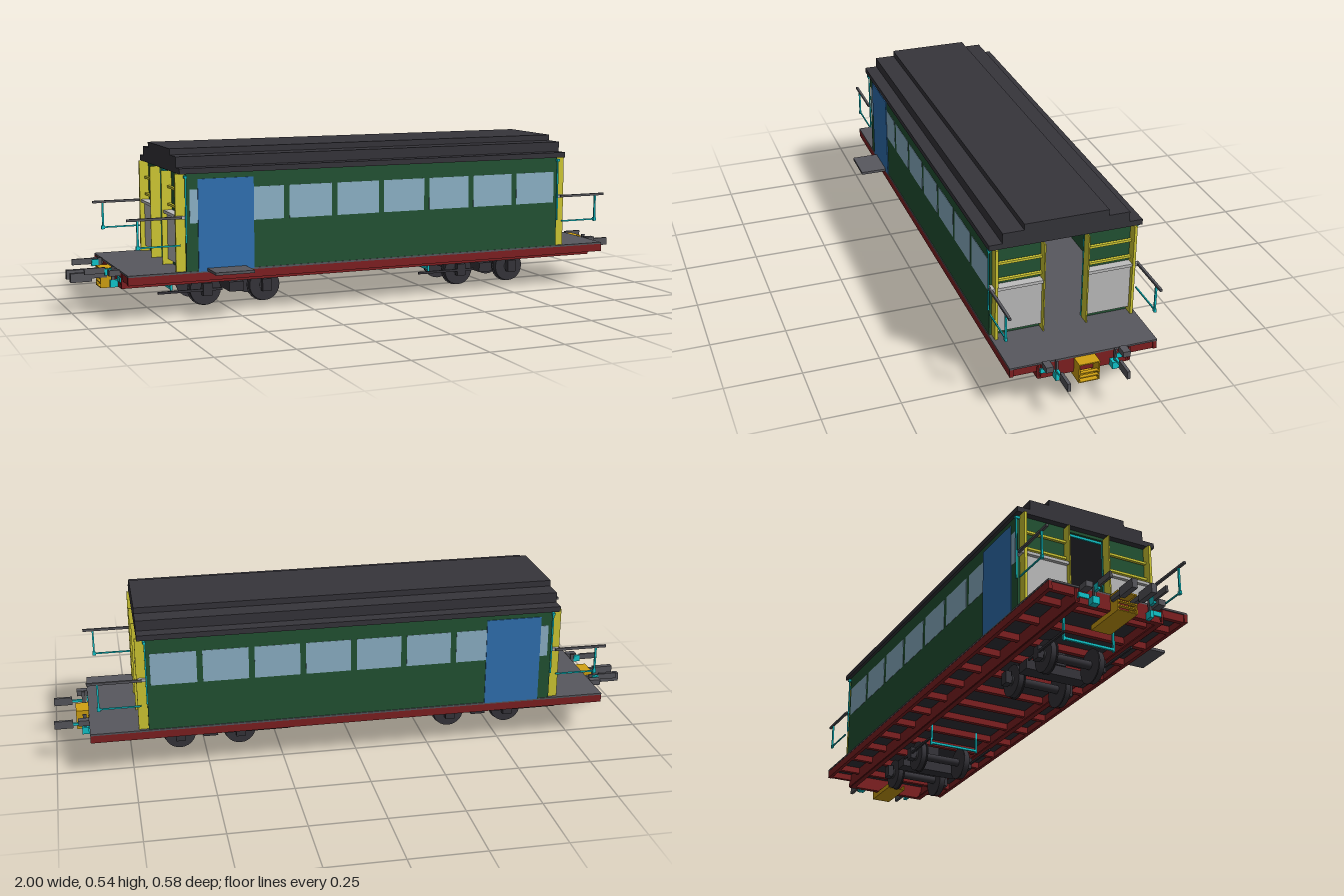
import * as THREE from 'three';

const mat = (name, color) => {
  const m = new THREE.MeshStandardMaterial({ color });
  m.name = name;
  return m;
};

export function createModel() {
  const root = new THREE.Group();
  root.name = 'railwayCoach';
  const M = {
    green: mat('body green', 0x235434),
    dark: mat('roof charcoal', 0x36353b),
    red: mat('frame red', 0x802022),
    grey: mat('deck grey', 0x58585e),
    panel: mat('panel light grey', 0xbebebe),
    yellow: mat('post yellow', 0xd3cc34),
    gold: mat('coupler gold', 0xd2a212),
    cyan: mat('fitting cyan', 0x10c9cf),
    blue: mat('door blue', 0x3173b5),
    glass: mat('window blue', 0x8fb5ca),
  };
  // box given by its limits on each axis
  const box = (name, m, x0, x1, y0, y1, z0, z1, parent = root) => {
    const mesh = new THREE.Mesh(new THREE.BoxGeometry(Math.abs(x1 - x0), y1 - y0, Math.abs(z1 - z0)), m);
    mesh.position.set((x0 + x1) / 2, (y0 + y1) / 2, (z0 + z1) / 2);
    mesh.name = name;
    parent.add(mesh);
    return mesh;
  };
  const disc = (name, m, r, x, y, z0, z1) => {
    const g = new THREE.CylinderGeometry(r, r, z1 - z0, 24).rotateX(Math.PI / 2);
    const mesh = new THREE.Mesh(g, m);
    mesh.position.set(x, y, (z0 + z1) / 2);
    mesh.name = name;
    root.add(mesh);
  };
  const ZC = -0.041; // centre line of the coach
  const both = (fn) => [1, -1].forEach(fn);

  // stepped roof
  box('roofEaves', M.dark, -0.69, 0.72, 0.463, 0.481, -0.291, 0.209);
  box('roofMiddle', M.dark, -0.69, 0.72, 0.481, 0.515, -0.247, 0.166);
  box('roofTop', M.dark, -0.69, 0.72, 0.515, 0.535, -0.178, 0.097);

  // side walls with windows and a sliding door
  both((s) => {
    const zo = ZC + s * 0.239, zi = zo - s * 0.008;
    box('sideWall', M.green, -0.668, 0.695, 0.145, 0.463, zi, zo);
    for (let i = 0; i < 8; i++) {
      const x = -0.58 + i * 0.1695;
      box('window', M.glass, x - 0.075, x + 0.075, 0.303, 0.412, zi - s * 0.001, zo + s * 0.001);
    }
    box('sideDoor', M.blue, -0.628, -0.44, 0.145, 0.445, zi - s * 0.002, zo + s * 0.003);
  });

  // coach floor, platforms and boarding step
  box('deck', M.grey, -0.86, 0.885, 0.141, 0.147, -0.283, 0.2);
  box('floorUnderside', M.dark, -0.85, 0.875, 0.137, 0.141, -0.275, 0.192);
  box('boardingStep', M.grey, -0.6, -0.47, 0.146, 0.155, 0.195, 0.293);

  // underframe
  both((s) => {
    const zo = ZC + s * 0.241;
    box('outerSill', M.red, -0.86, 0.885, 0.115, 0.141, zo, zo - s * 0.012);
    const zi = ZC + s * 0.15;
    box('innerSillWeb', M.red, -0.86, 0.885, 0.092, 0.138, zi - 0.003, zi + 0.003);
    box('innerSillFlange', M.red, -0.86, 0.885, 0.09, 0.095, zi, zi - s * 0.018);
  });
  for (let i = 0; i < 13; i++) {
    const x = -0.77 + i * 0.13;
    box('crossMember', M.red, x - 0.008, x + 0.008, 0.115, 0.138, -0.275, 0.193);
  }

  // both ends: s is the outward direction, other numbers are distances along it
  const buildEnd = (s) => {
    const end = new THREE.Group();
    end.name = s > 0 ? 'leftEnd' : 'rightEnd';
    root.add(end);
    const wall = s > 0 ? 0.695 : 0.668;  // end wall
    const edge = s > 0 ? 0.885 : 0.86;   // platform edge
    const b = (name, m, a, c, y0, y1, z0, z1) => box(name, m, s * a, s * c, y0, y1, z0, z1, end);

    // wall halves either side of the doorway
    both((t) => {
      const zd = ZC + t * 0.071, zc = ZC + t * 0.231;
      b('endWall', M.green, wall - 0.008, wall, 0.145, 0.463, zd, zc);
      b('endPanel', M.panel, wall, wall + 0.016, 0.165, 0.322, zd, zc - t * 0.001);
      b('panelCap', M.panel, wall, wall + 0.028, 0.318, 0.328, zd, ZC + t * 0.24);
      b('cornerPost', M.yellow, wall, wall + 0.032, 0.145, 0.463, zc - t * 0.009, zc);
      b('doorPost', M.yellow, wall, wall + 0.034, 0.145, 0.458, zd - t * 0.001, zd + t * 0.003);
      for (const y of [0.347, 0.405]) b('endRail', M.yellow, wall + 0.004, wall + 0.014, y - 0.004, y + 0.004, zd, zc);
      b('doorJamb', M.cyan, wall - 0.014, wall - 0.008, 0.145, 0.452, zd, zd + t * 0.012);
      // grab handle beside the corner
      const zg = ZC + t * 0.243;
      b('grabHandle', M.cyan, wall - 0.002, wall + 0.003, 0.24, 0.455, zg - 0.002, zg + 0.002);
      b('eavesBracket', M.cyan, wall - 0.004, wall + 0.006, 0.449, 0.457, zg - t * 0.01, zg + t * 0.005);
      // platform railing
      b('handrail', M.grey, wall + 0.015, edge + 0.002, 0.32, 0.328, zg - 0.004, zg + 0.004);
      b('lowerRail', M.cyan, wall + 0.02, edge - 0.03, 0.232, 0.237, zg - 0.002, zg + 0.002);
      b('railPost', M.cyan, edge - 0.036, edge - 0.03, 0.228, 0.322, zg - 0.003, zg + 0.003);
      b('railClamp', M.cyan, edge - 0.039, edge - 0.027, 0.228, 0.24, zg - 0.004, zg + 0.004);
    });
    b('doorLintel', M.cyan, wall - 0.014, wall - 0.008, 0.445, 0.453, ZC - 0.083, ZC + 0.083);
    b('wallOverDoor', M.green, wall - 0.008, wall, 0.453, 0.463, ZC - 0.071, ZC + 0.071);

    // buffer beam and outer headstock
    b('bufferBeam', M.red, edge - 0.018, edge, 0.09, 0.141, -0.18, 0.1);
    b('headstock', M.red, edge - 0.018, edge - 0.004, 0.115, 0.141, -0.28, 0.197);

    // open coupler cage
    const tip = edge + 0.042;
    both((t) => {
      const z = ZC + t * 0.032;
      b('cageArm', M.gold, edge - 0.11, tip, 0.076, 0.092, z - 0.002, z + 0.002);
      b('cageCheek', M.gold, edge + 0.001, tip, 0.09, 0.14, z - 0.002, z + 0.002);
    });
    b('cageBottom', M.gold, edge - 0.11, tip, 0.075, 0.078, ZC - 0.034, ZC + 0.034);
    b('cageTop', M.gold, edge, tip, 0.137, 0.141, ZC - 0.034, ZC + 0.034);
    for (const y of [0.092, 0.107]) b('cageBar', M.gold, edge + 0.03, tip, y - 0.002, y + 0.002, ZC - 0.034, ZC + 0.034);

    // hooks, brackets and couplings
    for (const [z, zb, w] of [[0.055, 0.085, 0.006], [-0.137, -0.166, 0.012]]) {
      b('hookBracket', M.cyan, edge, edge + 0.025, 0.088, 0.112, z - w, z + w);
      b('hookStem', M.grey, edge + 0.008, edge + 0.02, 0.11, 0.155, z - 0.003, z + 0.003);
      b('stepBlock', M.grey, edge, edge + 0.036, 0.131, 0.15, zb - 0.012, zb + 0.012);
      b('blockBracket', M.cyan, edge - 0.008, edge + 0.004, 0.11, 0.126, zb - 0.018, zb + 0.018);
      if (s > 0) {
        b('hookLink', M.cyan, edge + 0.02, 0.945, 0.118, 0.126, z - 0.004, z + 0.004);
        b('hookBar', M.grey, 0.938, 1, 0.11, 0.137, z - 0.005, z + 0.005);
      } else {
        b('hookBar', M.grey, 0.9, 0.968, 0.135, 0.155, z - 0.004, z + 0.004);
        b('hookLink', M.cyan, 0.88, 0.902, 0.128, 0.15, z - 0.005, z + 0.005);
      }
    }
    if (s < 0) for (const z of [-0.078, -0.012]) {
      b('couplingBar', M.grey, 0.93, 1, 0.1, 0.13, z - 0.009, z + 0.009);
      b('couplingNeck', M.grey, 0.88, 0.93, 0.11, 0.125, z - 0.007, z + 0.007);
    }
  };
  both(buildEnd);

  // two bogies with paired wheels
  for (const [xa, xb] of [[-0.563, -0.355], [0.38, 0.585]]) {
    for (const x of [xa, xb]) {
      disc('axle', M.dark, 0.014, x, 0.06, -0.163, 0.081);
      both((t) => {
        const z = ZC + t * 0.086;
        disc('wheelTread', M.dark, 0.053, x, 0.057, z - 0.009, z + 0.009);
        disc('wheelFlange', M.dark, 0.057, x, 0.057, z - t * 0.012 - 0.002, z - t * 0.012 + 0.002);
        disc('wheelHub', M.grey, 0.018, x, 0.057, z - 0.012, z + 0.012);
        const zo = ZC + t * 0.112;
        box('axleBox', M.dark, x - 0.016, x + 0.016, 0.04, 0.082, zo - 0.01, zo + 0.01);
      });
    }
    const xm = (xa + xb) / 2;
    box('bolster', M.dark, xm - 0.025, xm + 0.025, 0.045, 0.078, ZC - 0.11, ZC + 0.11);
    box('bogiePivot', M.dark, xm - 0.03, xm + 0.03, 0.078, 0.138, ZC - 0.03, ZC + 0.03);
    both((t) => {
      const z = ZC + t * 0.118;
      box('brakeRod', M.dark, xa - 0.17, xa + 0.05, 0.056, 0.064, z - 0.003, z + 0.003);
      box('brakeHanger', M.cyan, xa - 0.12, xa - 0.112, 0.06, 0.138, z - t * 0.03 - 0.003, z - t * 0.03 + 0.003);
    });
    box('brakeBeam', M.cyan, xa - 0.12, xa - 0.112, 0.064, 0.072, ZC - 0.09, ZC + 0.09);
  }
  return root;
}
